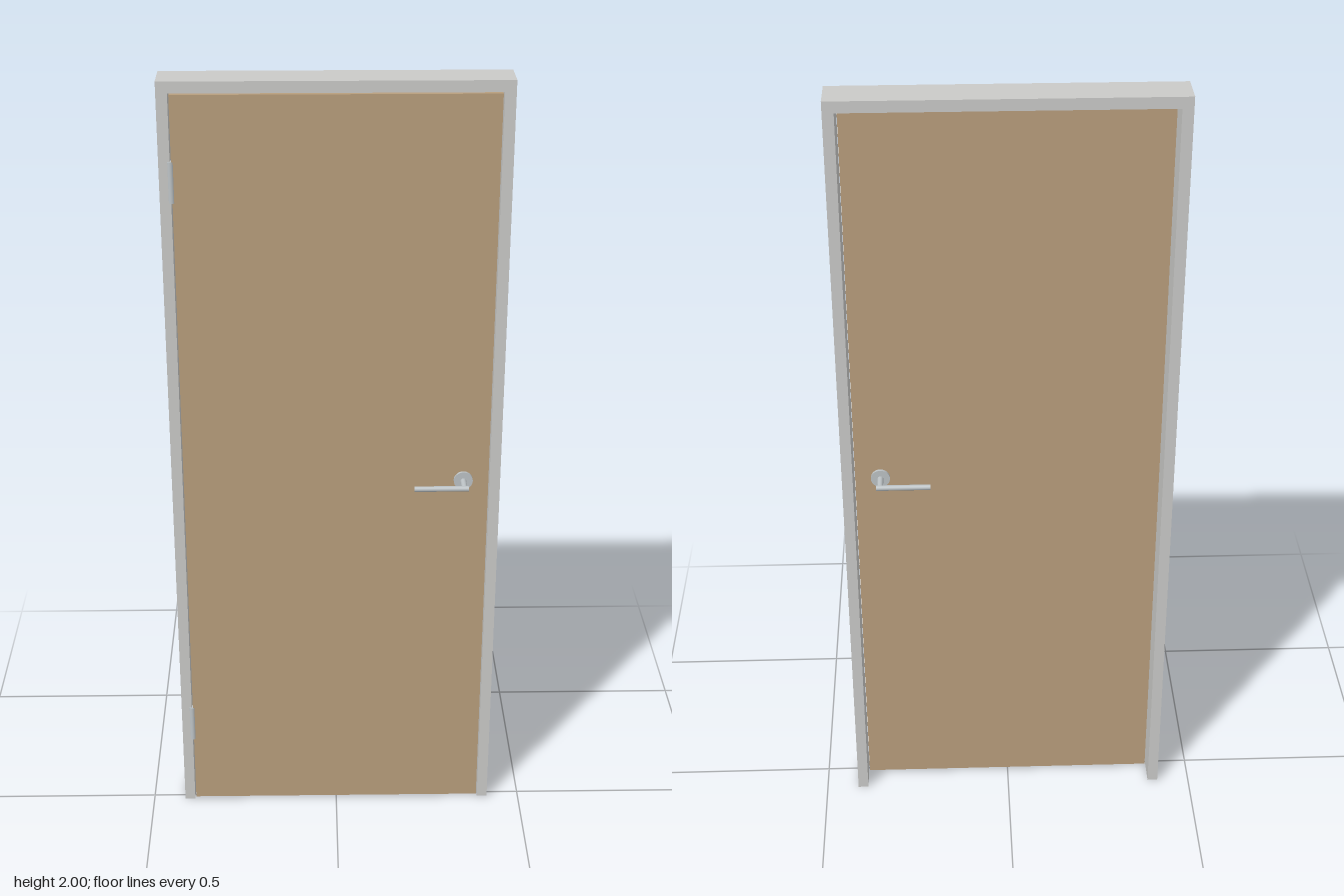
import * as THREE from 'three';

export function createModel() {
  const model = new THREE.Group();
  model.name = 'door';
  const mat = (name, color) => {
    const m = new THREE.MeshStandardMaterial({ color });
    m.name = name;
    return m;
  };
  const frameGrey = mat('frameGrey', 0xcacac8);
  const wood = mat('wood', 0xb89e7c);
  const metal = mat('metal', 0xbcc2c5);

  const add = (parent, name, geometry, material, x, y, z) => {
    const mesh = new THREE.Mesh(geometry, material);
    mesh.name = name;
    mesh.position.set(x, y, z);
    parent.add(mesh);
    return mesh;
  };

  // Frame: one inverted U extruded through the wall depth
  const W = 0.415, inner = 0.388, top = 1.972, back = -0.078, front = 0.018;
  const outline = new THREE.Shape([
    [-W, 0], [-inner, 0], [-inner, top], [inner, top],
    [inner, 0], [W, 0], [W, 2], [-W, 2],
  ].map(([x, y]) => new THREE.Vector2(x, y)));
  add(model, 'frame', new THREE.ExtrudeGeometry(outline, { depth: front - back, bevelEnabled: false }),
    frameGrey, 0, 0, back);

  // Door leaf, hung with a small gap all round
  const leafBack = -0.019, leafFront = 0.019, bottom = 0.008, leafTop = 1.969;
  add(model, 'doorLeaf', new THREE.BoxGeometry(0.77, leafTop - bottom, leafFront - leafBack),
    wood, 0, (leafTop + bottom) / 2, 0);

  // Hinge knuckles
  for (const y of [0.248, 1.76]) {
    add(model, 'hinge', new THREE.CylinderGeometry(0.008, 0.008, 0.1, 16), metal, -0.387, y, 0.014);
  }

  // Lever handle on each face
  for (const side of [1, -1]) {
    const handle = new THREE.Group();
    handle.name = side > 0 ? 'frontHandle' : 'backHandle';
    handle.position.set(0.321, 0.977, 0);
    const rose = add(handle, 'rose', new THREE.CylinderGeometry(0.024, 0.024, 0.008, 32),
      metal, 0, 0, side * (leafFront + 0.003));
    const neck = add(handle, 'neck', new THREE.CylinderGeometry(0.0075, 0.0075, 0.046, 20),
      metal, 0, 0, side * 0.045);
    rose.rotation.x = neck.rotation.x = Math.PI / 2;
    const lever = add(handle, 'lever', new THREE.CylinderGeometry(0.007, 0.007, 0.136, 20),
      metal, -0.058, 0, side * 0.069);
    lever.rotation.z = Math.PI / 2;
    model.add(handle);
  }
  return model;
}
